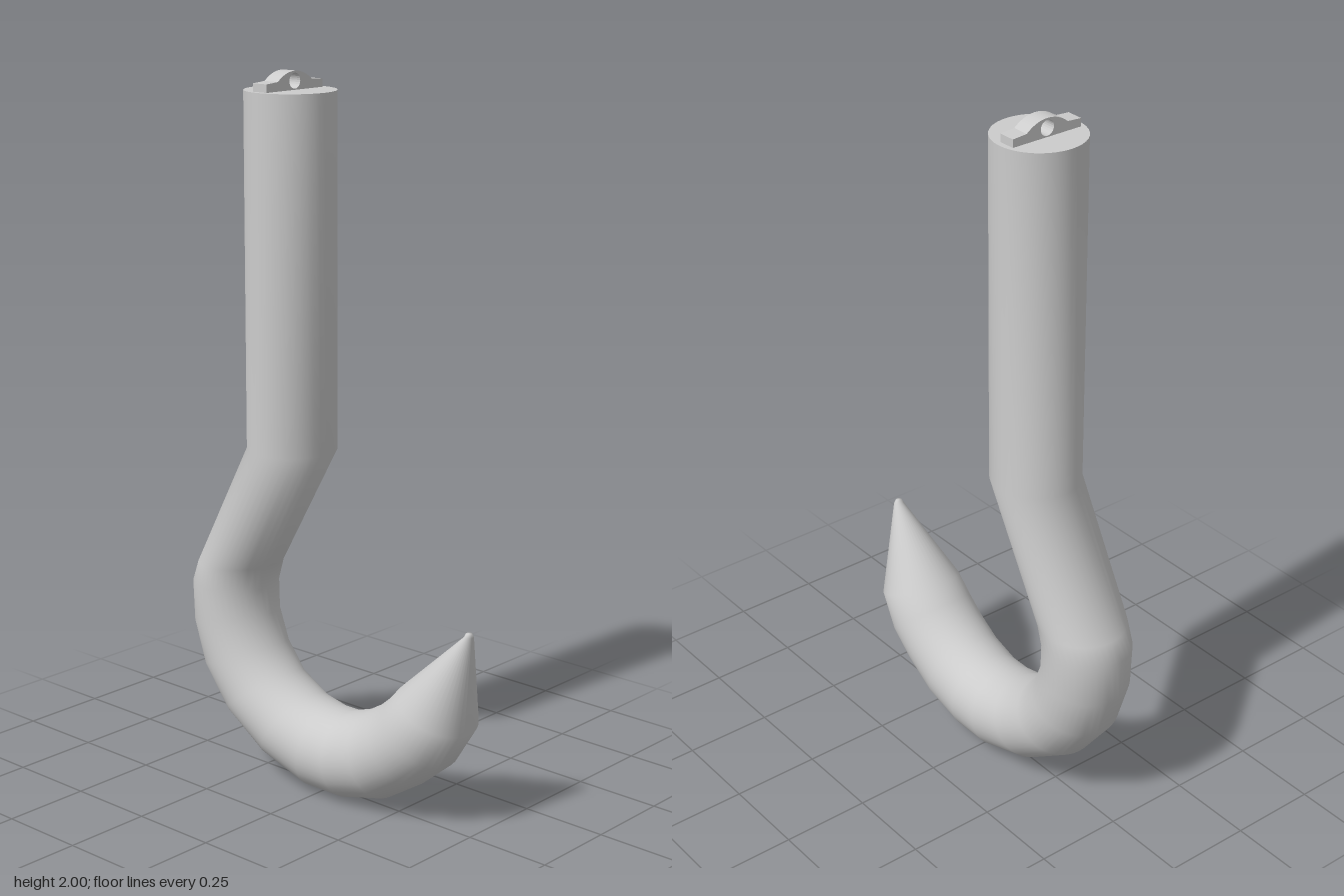
import * as THREE from 'three';

const SIDES = 40;
const material = new THREE.MeshStandardMaterial({ color: 0xcccccc });

// Cross-sections from shaft top to point: outer z, y, inner z, y, half width in x
const SECTIONS = [
  [-0.273, 1.95, -0.023, 1.95, 0.125],
  [-0.273, 0.97, -0.023, 0.97, 0.125],
  [-0.47, 0.6, -0.23, 0.61, 0.125],
  [-0.493, 0.54, -0.25, 0.54, 0.125],
  [-0.487, 0.415, -0.248, 0.46, 0.125],
  [-0.445, 0.285, -0.215, 0.375, 0.125],
  [-0.35, 0.16, -0.16, 0.305, 0.125],
  [-0.205, 0.06, -0.075, 0.26, 0.125],
  [-0.04, 0.005, -0.005, 0.247, 0.125],
  [0.085, 0.005, 0.06, 0.247, 0.125],
  [0.22, 0.04, 0.135, 0.272, 0.125],
  [0.33, 0.11, 0.195, 0.308, 0.125],
  [0.42, 0.185, 0.237, 0.345, 0.124],
  [0.49, 0.295, 0.275, 0.388, 0.115],
  [0.497, 0.57, 0.473, 0.57, 0.015],
  [0.493, 0.58, 0.477, 0.58, 0.009],
  [0.485, 0.581, 0.485, 0.581, 0],
];

// Skin elliptical rings spanning the outer and inner edge of each section
function sweptGeometry(sections) {
  const positions = [], index = [];
  sections.forEach(([oz, oy, iz, iy, w], r) => {
    for (let j = 0; j < SIDES; j++) {
      const a = (j / SIDES) * Math.PI * 2;
      const t = Math.cos(a) / 2;
      positions.push(
        w * Math.sin(a),
        (oy + iy) / 2 + (oy - iy) * t,
        (oz + iz) / 2 + (oz - iz) * t
      );
      if (r < sections.length - 1) {
        const p = r * SIDES + j, q = r * SIDES + ((j + 1) % SIDES);
        index.push(p, q, p + SIDES, q, q + SIDES, p + SIDES);
      }
    }
  });
  const geometry = new THREE.BufferGeometry();
  geometry.setAttribute('position', new THREE.Float32BufferAttribute(positions, 3));
  geometry.setIndex(index);
  geometry.computeVertexNormals();
  return geometry;
}

export function createModel() {
  const group = new THREE.Group();
  const add = (name, geometry) => {
    const mesh = new THREE.Mesh(geometry, material);
    mesh.name = name;
    group.add(mesh);
    return mesh;
  };

  // Shaft, bend and pointed hook in one skin
  add('hook', sweptGeometry(SECTIONS));

  // Flat end of the shaft
  const cap = add('shaftCap', new THREE.CircleGeometry(0.125, SIDES));
  cap.rotation.x = -Math.PI / 2;
  cap.position.set(0, 1.95, -0.148);

  // Small winged lug with a round eye
  const lug = new THREE.Shape();
  lug.moveTo(-0.108, 0);
  lug.lineTo(0.108, 0);
  lug.lineTo(0.108, 0.022);
  lug.lineTo(0.065, 0.025);
  lug.quadraticCurveTo(0.035, 0.05, 0, 0.05);
  lug.quadraticCurveTo(-0.035, 0.05, -0.065, 0.025);
  lug.lineTo(-0.108, 0.022);
  lug.closePath();
  const eye = new THREE.Path();
  eye.absarc(0, 0.024, 0.021, 0, Math.PI * 2, true);
  lug.holes.push(eye);
  const plate = add('lug', new THREE.ExtrudeGeometry(lug, { depth: 0.048, bevelEnabled: false, curveSegments: 12 }));
  plate.position.set(0, 1.95, -0.18);

  return group;
}
